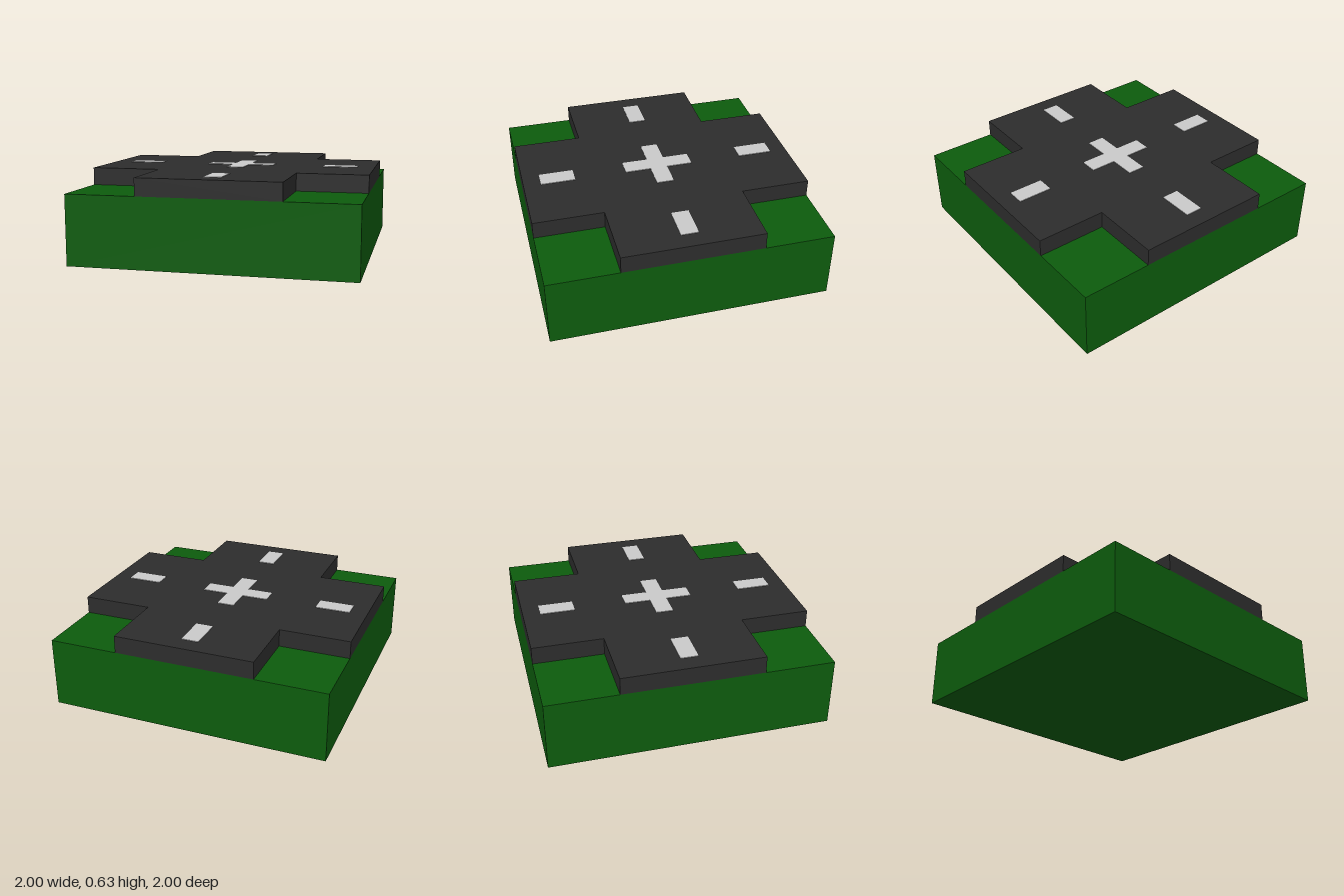
import * as THREE from 'three';

const grass = new THREE.MeshStandardMaterial({ name: 'grass green', color: 0x0d5c0d });
const asphalt = new THREE.MeshStandardMaterial({ name: 'asphalt grey', color: 0x2d2d2d });
const paint = new THREE.MeshStandardMaterial({ name: 'road paint', color: 0xc9c9c9 });

const BASE_TOP = 0.5;
const ROAD_TOP = 0.625;
const PAINT_THICKNESS = 0.004;

// Upright plus-shaped prism: arms reach "reach" from the centre, half-width "half"
function plusPrism(reach, half, height) {
  const points = [];
  for (let i = 0; i < 4; i++) {
    const turn = (i * Math.PI) / 2;
    for (const [x, y] of [[reach, -half], [reach, half], [half, half]]) {
      points.push(new THREE.Vector2(x, y).rotateAround(new THREE.Vector2(), turn));
    }
  }
  const geometry = new THREE.ExtrudeGeometry(new THREE.Shape(points), { depth: height, bevelEnabled: false });
  return geometry.rotateX(-Math.PI / 2);
}

function addMesh(parent, name, geometry, material, x, y, z) {
  const mesh = new THREE.Mesh(geometry, material);
  mesh.name = name;
  mesh.position.set(x, y, z);
  parent.add(mesh);
  return mesh;
}

export function createModel() {
  const model = new THREE.Group();
  model.name = 'crossroadTile';

  // Grass block and raised crossroad
  addMesh(model, 'grassBase', new THREE.BoxGeometry(2, BASE_TOP, 2), grass, 0, BASE_TOP / 2, 0);
  addMesh(model, 'crossroad', plusPrism(1, 0.5, ROAD_TOP - BASE_TOP), asphalt, 0, BASE_TOP, 0);

  // Painted cross in the middle
  const markings = new THREE.Group();
  markings.name = 'roadMarkings';
  model.add(markings);
  addMesh(markings, 'centreCross', plusPrism(0.25, 0.0625, PAINT_THICKNESS), paint, 0, ROAD_TOP, 0);

  // One lane dash on each arm
  const dash = new THREE.BoxGeometry(0.25, PAINT_THICKNESS, 0.125);
  ['left', 'back', 'right', 'front'].forEach((side, i) => {
    const turn = (i * Math.PI) / 2;
    const mesh = addMesh(markings, `${side}LaneDash`, dash, paint,
      0.75 * Math.cos(turn), ROAD_TOP + PAINT_THICKNESS / 2, -0.75 * Math.sin(turn));
    mesh.rotation.y = turn;
  });

  return model;
}
